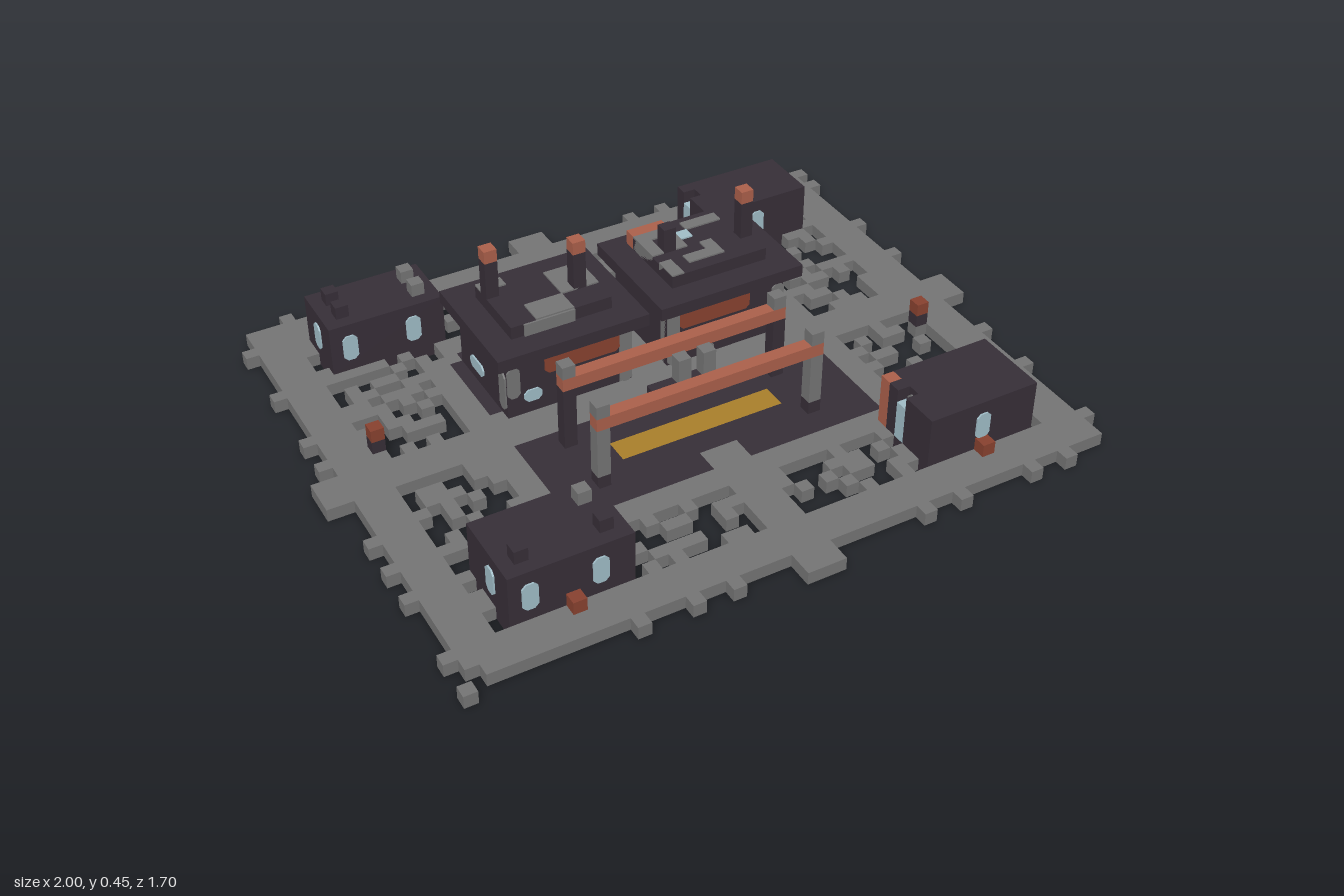
import * as THREE from 'three';
import { mergeGeometries } from 'three/addons/utils/BufferGeometryUtils.js';

const U = 2 / 53; // one block

export function createModel() {
  const root = new THREE.Group();
  root.name = 'industrialYard';
  const material = (name, color) => {
    const m = new THREE.MeshStandardMaterial({ color });
    m.name = name;
    return m;
  };
  const mats = {
    stone: material('grey stone', 0x747474),
    dark: material('dark brick', 0x362e37),
    rust: material('rust red', 0x87412f),
    copper: material('copper', 0xaa5f4a),
    glass: material('pale glass', 0x9fbcc6),
    yellow: material('yellow paint', 0xa87e2a),
  };

  // A part collects blocks and plates, then makes one mesh per colour
  function part(name, build) {
    const sets = {};
    const add = (mat, geo) => (sets[mat] ??= []).push(geo);
    // Inclusive block ranges: x, y, z
    const box = (mat, [x0, x1 = x0], [y0, y1 = y0], [z0, z1 = z0]) => {
      const g = new THREE.BoxGeometry((x1 - x0 + 1) * U, (y1 - y0 + 1) * U, (z1 - z0 + 1) * U).toNonIndexed();
      g.translate((x0 + x1) / 2 * U, (y0 + y1 + 1) / 2 * U, (z0 + z1) / 2 * U);
      add(mat, g);
    };
    // Chamfered thin plate on a wall; position and size in blocks, turn about y
    const plate = (mat, w, h, x, y, z, turn) => {
      const a = w / 2 * U, b = h / 2 * U, c = 0.3 * U;
      const s = new THREE.Shape([[-a + c, -b], [a - c, -b], [a, -b + c], [a, b - c], [a - c, b], [-a + c, b], [-a, b - c], [-a, -b + c]]
        .map(p => new THREE.Vector2(...p)));
      const g = new THREE.ExtrudeGeometry(s, { depth: 0.005, bevelEnabled: false });
      g.rotateY(turn).translate(x * U, y * U, z * U);
      add(mat, g);
    };
    build(box, plate);
    const group = new THREE.Group();
    group.name = name;
    for (const [k, list] of Object.entries(sets)) {
      const mesh = new THREE.Mesh(mergeGeometries(list), mats[k]);
      mesh.name = `${name} ${mats[k].name}`;
      group.add(mesh);
    }
    root.add(group);
  }

  // Ground: roads, kerb tabs, dark floors and scattered paving
  const tabs = {
    north: [-21, -18, 9, 12, 16, 21], south: [-13, -9, -6, 9, 12, 18, 21],
    west: [-18, -12, -6, -3, 6, 9, 12, 18, 21], east: [-20, -18, -11, -6, 6, 11, 18],
  };
  const scatter = (x, z) => {
    const v = Math.sin(x * 12.99 + z * 78.23) * 43758.55;
    return v - Math.floor(v) < 0.36;
  };
  function ground(x, z) {
    const ax = Math.abs(x), az = Math.abs(z);
    if (z >= 5 && z <= 6 && ax <= 6) return 'yellow';
    if (z >= 2 && z <= 10 && ax <= 12 && !(z >= 9 && ax <= 1)) return 'dark';
    if (z <= -2 && z >= -10 && ax >= 2 && ax <= 12 && !((z === -10 || z === -2) && (ax === 2 || ax === 12))) return 'dark';
    if (ax >= 12 && ax <= 20 && az <= 17 && az >= (z < 0 ? 13 : 12)) return 'dark';
    if (ax <= 1 || az <= 1) return 'stone';
    if (x === -24 && z === 20) return null;
    if (ax <= 24 && az <= 20 && (ax >= 22 || az >= 18)) return 'stone';
    if ((ax <= 14 && az <= 10) || (ax <= 12 && az <= 12)) return 'stone';
    if (ax <= 21 && az <= 17) return scatter(x, z) ? 'stone' : null;
    if (z === -21 && tabs.north.includes(x)) return 'stone';
    if (z === 21 && tabs.south.includes(x)) return 'stone';
    if (x === -25 && tabs.west.includes(z)) return 'stone';
    if (x === 25 && tabs.east.includes(z)) return 'stone';
    return null;
  }
  part('ground', box => {
    for (let z = -22; z <= 22; z++) {
      let start = -26;
      const at = x => (Math.abs(x) > 26 ? null : ground(x, z));
      for (let x = -26; x <= 26; x++) {
        if (at(x) === at(x + 1) && x < 26) continue;
        if (at(x)) box(at(x), [start, x], [0], [z]);
        start = x + 1;
      }
    }
  });

  // Corner houses
  for (const side of [-1, 1]) for (const end of [-1, 1]) {
    part(`${end > 0 ? 'front' : 'back'}${side > 0 ? 'Left' : 'Right'}House`, (box, plate) => {
      const z0 = end > 0 ? 12 : -17, z1 = end > 0 ? 17 : -13, mid = end * 15;
      if (side < 0) {
        box('dark', [-20, -12], [1, 4], [z0, z1]);
        // Roof vents
        for (const z of end > 0 ? [13, 16] : [-16, -14]) {
          if (z !== 13) box('dark', [-19], [5], [z]);
          box(z === 16 ? 'dark' : 'stone', [-13], [5], [z]);
        }
        for (const x of [-19, -14]) {
          plate('glass', 1.15, 2.1, x, 3, z1 + 0.5, 0);
          plate('glass', 1.15, 2.1, x, 3, z0 - 0.5, Math.PI);
        }
        plate('glass', 1.15, 2.1, -20.5, 3, mid, -Math.PI / 2);
      } else {
        // Side wall broken by an entrance
        box('dark', [13, 20], [1, 4], [z0, z1]);
        if (end > 0) {
          box('dark', [12], [1, 4], [15, 17]);
          box('dark', [12], [1, 4], [13]);
          box('glass', [12], [1, 3], [14]);
          box('copper', [12], [1, 4], [12]);
          plate('stone', 1, 3, 12.5, 3, 14, -Math.PI / 2);
        } else {
          box('dark', [12], [1, 4], [-15, -13]);
          box('dark', [12], [1, 4], [-17]);
          box('glass', [12], [1, 3], [-16]);
        }
        plate('glass', 1.15, 2.1, 16, 3, z1 + 0.5, 0);
        plate('glass', 1.15, 2.1, 16, 3, z0 - 0.5, Math.PI);
        plate('glass', 1.15, 2.1, 20.5, 3, mid, Math.PI / 2);
      }
    });
  }

  // Two workshop halls with overhanging roofs
  for (const s of [-1, 1]) part(s > 0 ? 'leftHall' : 'rightHall', (box, plate) => {
    const span = (a, b) => (s > 0 ? [a, b] : [-b, -a]);
    box('dark', span(2, 11), [1, 5], [-9, -2]);
    box('dark', span(1, 12), [6], [-10, -1]);
    box('dark', span(3, 10), [7], [-8, -3]);
    // Rust panels and low windows on each face
    for (const [z, turn] of [[-1.5, 0], [-9.5, Math.PI]]) {
      plate('rust', 6, 2, s * 5.5, 5, z, turn);
      plate('glass', 2.4, 1, s * 4.5, 2.5, z, turn);
      plate('glass', 1.4, 1, s * 9.5, 2.5, z, turn);
    }
    for (const [x, turn] of [[s * 11.5, s * Math.PI / 2], [s * 1.5, -s * Math.PI / 2]]) {
      plate('rust', 2.2, 1.1, x, 5.4, -6.5, turn);
      plate('rust', 1.8, 1.1, x, 5.4, -2.5, turn);
      plate('glass', 2.2, 1, x, 2.5, -6.5, turn);
    }
    // Stone corner piers and a low lamp by the door
    box('stone', span(2, 2), [1, 5], [-2, -2]);
    plate('stone', 1, 5, s * 2, 3.5, -1.5, 0);
    plate('stone', 1, 3.2, 11.5 * s, 3.2, -2.1, s * Math.PI / 2);
    plate('stone', 1, 2.6, s * 11, 4, -1.5, 0);
    plate(s < 0 ? 'yellow' : 'stone', 0.9, 0.9, s < 0 ? -7 : 5, 1.5, -1.5, 0);
  });

  // Roof patches laid flush on the raised roofs
  part('roofPatches', box => {
    const thin = (mat, x, z) => box(mat, x, [7, 7.12], z);
    thin('stone', [-10, -9], [-8]);
    thin('stone', [-5, -3], [-7, -5]);
    thin('stone', [-8, -6], [-4, -3]);
    thin('copper', [3, 5], [-9]);
    thin('stone', [3, 5], [-8]);
    thin('stone', [3], [-7, -6]);
    thin('stone', [5], [-7, -6]);
    thin('glass', [6], [-7]);
    thin('stone', [7, 9], [-8]);
    thin('stone', [7], [-5]);
    thin('stone', [5, 7], [-4]);
    thin('stone', [3], [-4, -3]);
    box('stone', [-9, -6], [7], [-2.9, -2.85]);
  });

  // Chimneys with copper caps, and a plain stack
  part('chimneys', box => {
    for (const [x, z] of [[-10, -7], [-4, -5], [10, -5]]) {
      box('dark', [x], [7, 10], [z]);
      box('copper', [x], [11], [z]);
    }
    box('dark', [4], [7, 9], [-6]);
  });

  // Gantry: four posts, two copper rails
  part('gantry', box => {
    for (const z of [3, 8]) {
      for (const x of [-9, 8]) {
        box('dark', [x], [1, z === 3 ? 5 : 1], [z]);
        if (z === 8) box('stone', [x], [2, 5], [z]);
        box('copper', [x], [6], [z]);
        box('stone', [x], [7], [z]);
      }
      box('copper', [-8, 7], [6], [z]);
    }
  });

  // Suspended load with hangers
  part('hangingLoad', box => {
    box('dark', [-3, 1], [4], [5]);
    for (const x of [-1, 1]) box('stone', [x], [5, 6], [5]);
  });

  // Roadside braziers and a loose crate
  part('braziers', box => {
    for (const s of [-1, 1]) {
      box('stone', [s * 21], [0], [s * 3]);
      box('dark', [s * 21], [1], [s * 3]);
      box('rust', [s * 21], [2], [s * 3]);
    }
    for (const s of [-1, 1]) box('rust', [s * 16], [1], [18]);
  });

  return root;
}
